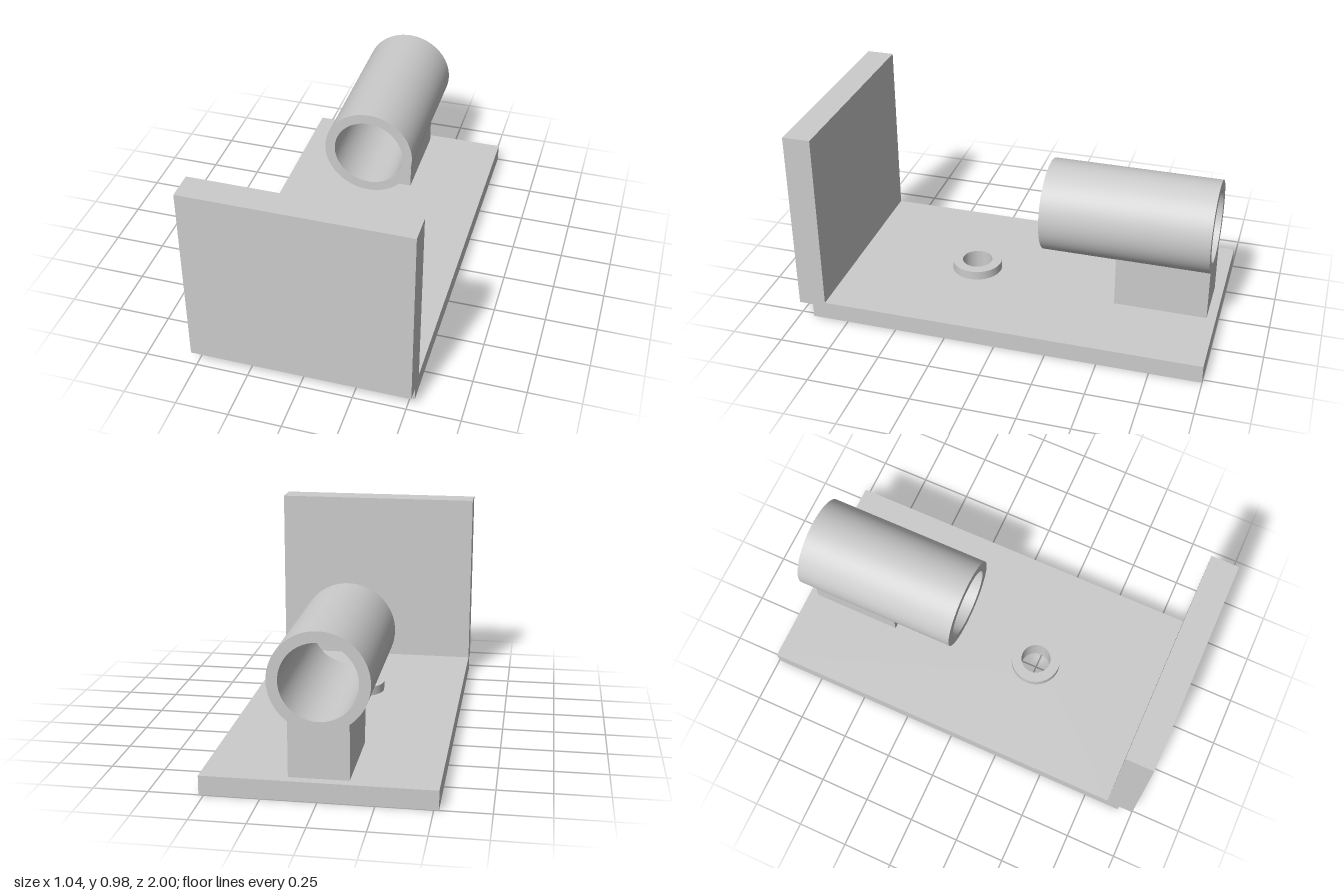
import * as THREE from 'three';
import { toCreasedNormals } from 'three/addons/utils/BufferGeometryUtils.js';

const material = new THREE.MeshStandardMaterial({ color: 0xcccccc });

function polygon(points) {
  return new THREE.Shape(points.map(([x, y]) => new THREE.Vector2(x, y)));
}

function withHole(shape, x, y, radius) {
  shape.holes.push(new THREE.Path().absarc(x, y, radius, 0, Math.PI * 2, true));
  return shape;
}

function annulus(x, y, outer, inner) {
  return withHole(new THREE.Shape().absarc(x, y, outer, 0, Math.PI * 2, false), x, y, inner);
}

// Extrudes along +z, smooth around curves and sharp at edges
function extrude(shape, depth) {
  const geometry = new THREE.ExtrudeGeometry(shape, { depth, bevelEnabled: false, curveSegments: 32 });
  return toCreasedNormals(geometry, Math.PI / 6);
}

export function createModel() {
  const group = new THREE.Group();
  const add = (name, geometry) => {
    const mesh = new THREE.Mesh(geometry, material);
    mesh.name = name;
    group.add(mesh);
  };

  const halfWidth = 0.5225, plateTop = 0.09, wallBack = 0.865;
  const holeZ = 0.245, holeRadius = 0.075;

  // Base plate with a through hole (shape y is -z)
  const plate = polygon([
    [-halfWidth, -wallBack], [halfWidth, -wallBack], [halfWidth, 1], [-halfWidth, 1],
  ]);
  withHole(plate, 0, -holeZ, holeRadius);
  add('basePlate', extrude(plate, plateTop).rotateX(-Math.PI / 2));

  // Upright wall with a stepped foot (shape x is -z)
  const wall = polygon([
    [-1, 0.07], [-0.93, 0.07], [-0.93, 0], [-wallBack, 0], [-wallBack, 0.98], [-1, 0.98],
  ]);
  add('frontWall', extrude(wall, halfWidth * 2).rotateY(Math.PI / 2).translate(-halfWidth, 0, 0));

  // Raised collar around the hole
  add('holeCollar', extrude(annulus(0, -holeZ, 0.125, holeRadius), 0.045)
    .rotateX(-Math.PI / 2).translate(0, plateTop, 0));

  // Horizontal tube, open at both ends
  add('tube', extrude(annulus(0, 0.525, 0.225, 0.175), 0.82).translate(0, 0, -0.955));

  // Block carrying the rear of the tube
  add('tubeSupport', new THREE.BoxGeometry(0.27, 0.255, 0.455).translate(0, 0.2175, -0.7275));

  return group;
}
